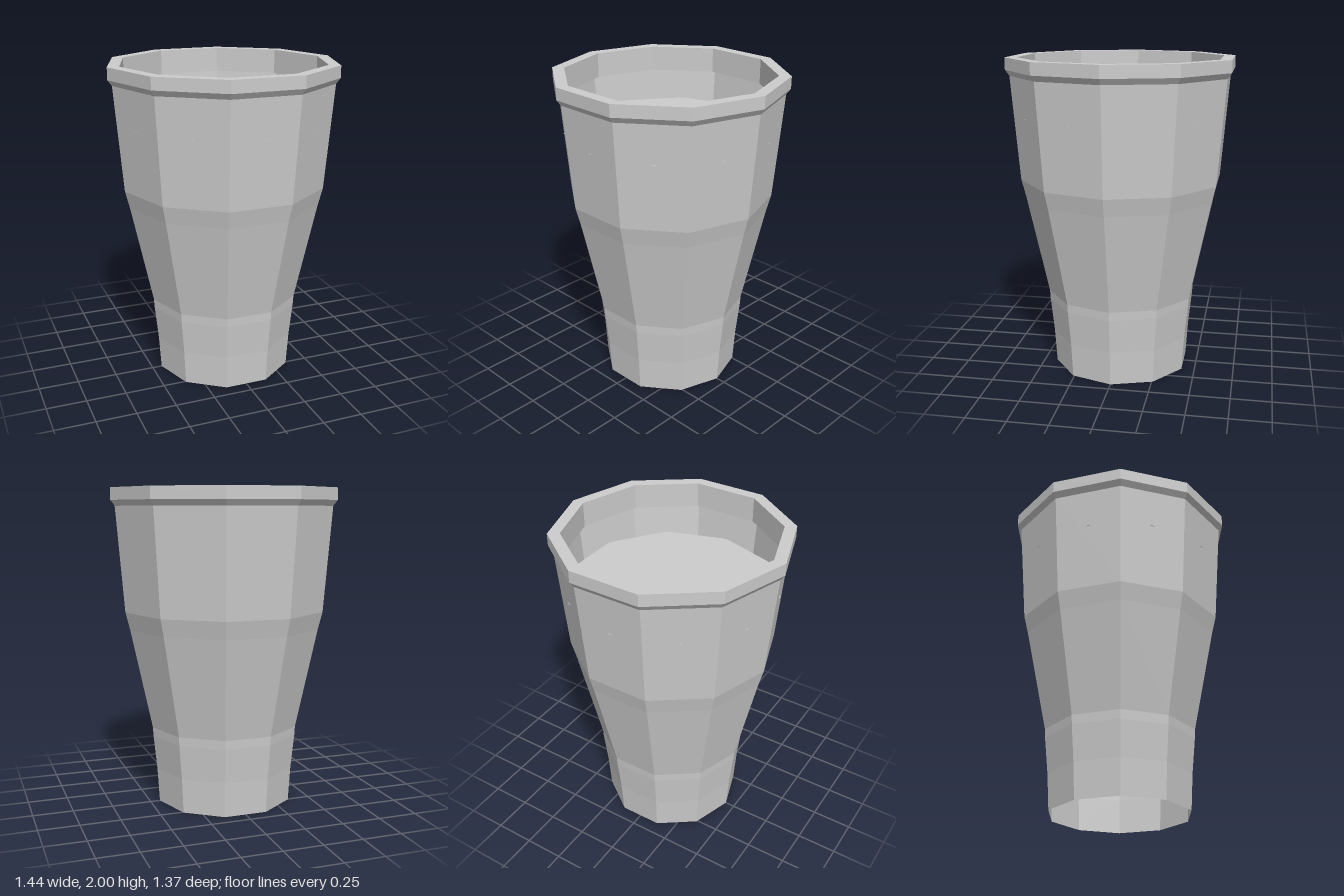
import * as THREE from 'three';

const SIDES = 10;

export function createModel() {
  const model = new THREE.Group();
  model.name = 'tumbler';
  const grey = new THREE.MeshStandardMaterial({ color: 0xcccccc, flatShading: true, side: THREE.DoubleSide });
  grey.name = 'light grey';

  // ten-sided shell turned from [radius, height] pairs, with a corner on the x axis
  const turned = (name, profile) => {
    const points = profile.map(([r, y]) => new THREE.Vector2(r, y));
    const mesh = new THREE.Mesh(new THREE.LatheGeometry(points, SIDES, Math.PI / 2), grey);
    mesh.name = name;
    model.add(mesh);
  };

  // thin, open-bottomed wall
  turned('cupWall', [
    [0.438, 0], [0.452, 0.22], [0.475, 0.44], [0.478, 0.495],
    [0.614, 1.13], [0.642, 1.24], [0.695, 1.89],
  ]);

  // overhanging lip: bevel, outer band, flat top and inner band
  turned('rim', [
    [0.695, 1.89], [0.721, 1.925], [0.721, 2], [0.647, 2], [0.647, 1.845],
  ]);

  // drink surface, its corners turned to the middles of the wall panels
  const drink = new THREE.Mesh(
    new THREE.CircleGeometry(0.648, SIDES, Math.PI / SIDES).rotateX(-Math.PI / 2), grey);
  drink.position.y = 1.65;
  drink.name = 'drinkSurface';
  model.add(drink);

  return model;
}
